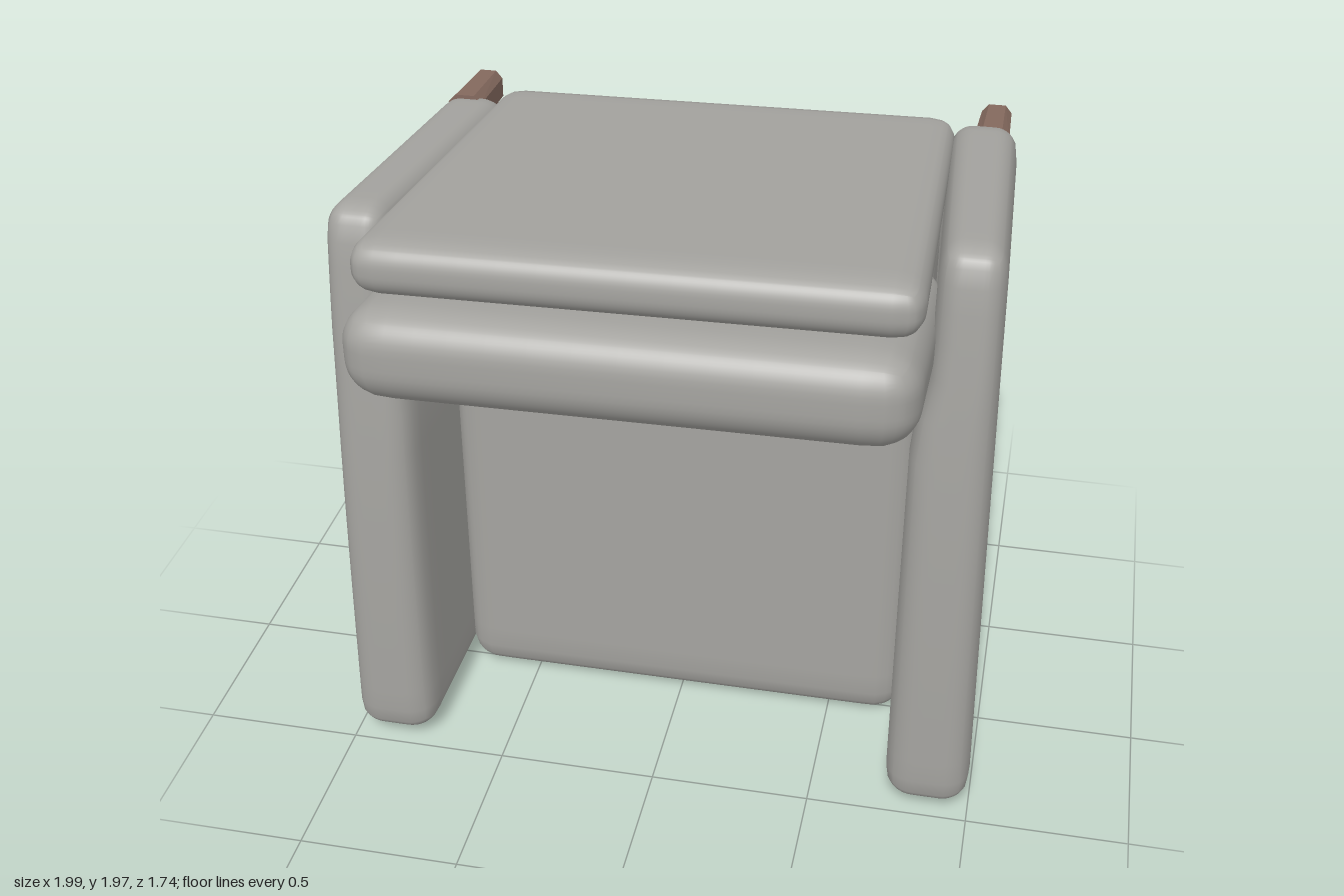
import * as THREE from 'three';
import { mergeVertices } from 'three/addons/utils/BufferGeometryUtils.js';

const fabric = new THREE.MeshStandardMaterial({ color: 0xa5a4a0 });
const wood = new THREE.MeshStandardMaterial({ color: 0x856a5f });
const { lerp, clamp, smoothstep } = THREE.MathUtils;

// Upholstered block: a subdivided box with rounded edges, then moved by a shaping rule.
// The rule gets (u, v, w) in 0..1 along x, y, z and returns [x, y, z].
function softBlock(name, size, radius, rule) {
  let geo = new THREE.BoxGeometry(1, 1, 1, 20, 20, 20);
  geo.deleteAttribute('normal');
  geo.deleteAttribute('uv');
  geo = mergeVertices(geo, 1e-4);
  const pos = geo.attributes.position;
  const point = new THREE.Vector3(), core = new THREE.Vector3();
  const half = new THREE.Vector3(...size).multiplyScalar(0.5);
  const limit = half.clone().subScalar(radius);
  for (let i = 0; i < pos.count; i++) {
    point.fromBufferAttribute(pos, i);
    // Crowd the grid lines toward the edges, then round those edges
    for (const a of ['x', 'y', 'z']) {
      point[a] = Math.sin(Math.PI * point[a]) * half[a];
      core[a] = clamp(point[a], -limit[a], limit[a]);
    }
    point.sub(core).setLength(radius).add(core).divide(half);
    pos.setXYZ(i, ...rule(point.x / 2 + 0.5, point.y / 2 + 0.5, point.z / 2 + 0.5));
  }
  geo.computeVertexNormals();
  const mesh = new THREE.Mesh(geo, fabric);
  mesh.name = name;
  return mesh;
}

// Arm: flares outward, slopes at its upper end and is pressed in beside the back cushion
function arm(name, side, top) {
  return softBlock(name, [0.25, 1.87, 1.14], 0.085, (u, v, w) => {
    const outward = side > 0 ? u : 1 - u;
    const inner = lerp(0.72, lerp(0.735, 0.78, smoothstep(v, 0.68, 0.8)), w);
    const outer = lerp(lerp(0.96, 0.93, v), lerp(1.0, 0.965, v), w);
    const y = lerp(0.025, top - 0.09 * (1 - w), v);
    const z = lerp(-0.68, lerp(0.495, 0.42, v ** 3), w);
    return [side * lerp(inner, outer, outward), y, Math.max(z, -0.64)];
  });
}

// Flat upholstered slab between two z levels
function slab(name, z0, z1, radius, y0) {
  return softBlock(name, [1.48, 1.72, z1 - z0], radius, (u, v, w) =>
    [lerp(-0.74, 0.74, u), lerp(y0, 1.78, v), lerp(z0, z1, w)]);
}

// Tapered leg with a chamfered section; its foot is shifted along y
function leg(name, x, y, footShift) {
  const h = 0.057, c = 0.025;
  const section = new THREE.Shape([
    [h, c - h], [h, h - c], [h - c, h], [c - h, h],
    [-h, h - c], [-h, c - h], [c - h, -h], [h - c, -h],
  ].map((q) => new THREE.Vector2(...q)));
  const geo = new THREE.ExtrudeGeometry(section, { depth: 0.27, bevelEnabled: false });
  const pos = geo.attributes.position;
  for (let i = 0; i < pos.count; i++) {
    const t = pos.getZ(i) / 0.27;
    pos.setXY(i, pos.getX(i) * lerp(0.83, 0.97, t), pos.getY(i) + footShift * (1 - t));
  }
  geo.computeVertexNormals();
  const mesh = new THREE.Mesh(geo, wood);
  mesh.name = name;
  mesh.position.set(x, y, -0.87);
  return mesh;
}

export function createModel() {
  const chair = new THREE.Group();
  chair.name = 'armchair';

  // Arms
  chair.add(arm('leftArm', 1, 1.93), arm('rightArm', -1, 1.885));

  // Base and seat cushion, stacked along z; the base is recessed between the arms
  chair.add(slab('seatBase', -0.605, -0.27, 0.07, 0.01));
  chair.add(slab('seatCushion', -0.29, 0.07, 0.1, 0.0));

  // Backrest: a leaning panel, a little wider where it clears the arms
  chair.add(softBlock('backPanel', [1.5, 0.17, 1.42], 0.075, (u, v, w) => {
    const x = lerp(-1, 1, u) * lerp(0.735, 0.775, w);
    const y = lerp(lerp(1.7, 1.8, w), lerp(1.84, 1.965, w), v) + x * 0.015;
    return [x, y, Math.max(lerp(-0.685, 0.75, w), -0.645)];
  }));

  // Back cushion: a thick pillow with a domed free edge
  chair.add(softBlock('backCushion', [1.56, 0.31, 0.85], 0.125, (u, v, w) => {
    const x = lerp(-0.785, 0.785, u);
    const y = lerp(lerp(1.39, 1.53, w), lerp(1.71, 1.815, w), v) + x * 0.01;
    return [x, y, lerp(0.02, 0.87, w)];
  }));

  // Four legs
  for (const [label, side] of [['Left', 1], ['Right', -1]]) {
    chair.add(leg('front' + label + 'Leg', side * 0.85, 0.155, 0));
    chair.add(leg('back' + label + 'Leg', side * 0.85, 1.765 + side * 0.01, -0.02));
  }
  return chair;
}
